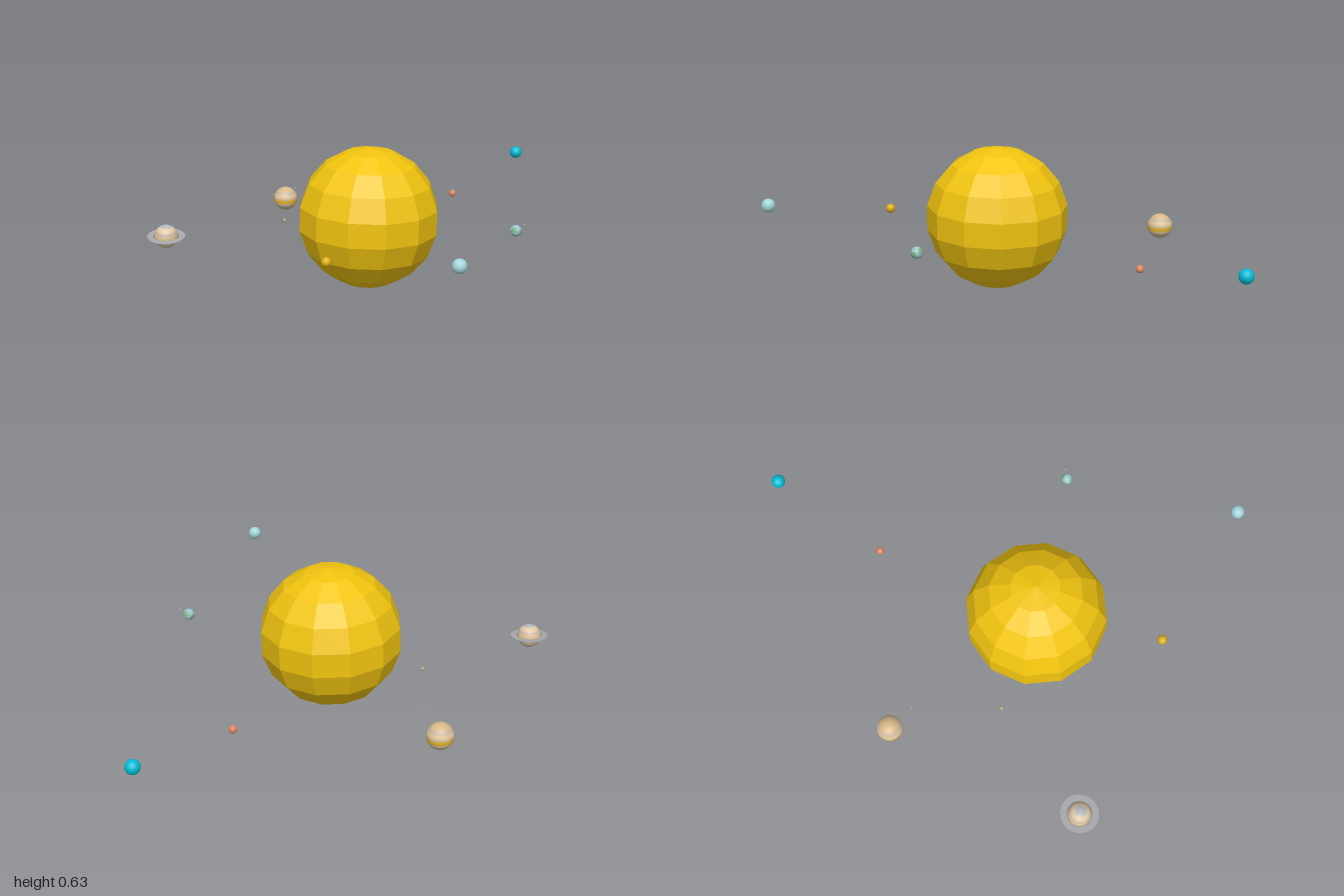
import * as THREE from 'three';

const mat = (color, extra = {}) => new THREE.MeshStandardMaterial({ color, ...extra });

function add(parent, name, geometry, material, pos = [0, 0, 0]) {
  const mesh = new THREE.Mesh(geometry, material);
  mesh.name = name;
  mesh.position.set(...pos);
  parent.add(mesh);
  return mesh;
}

const ball = (parent, name, r, color, pos) =>
  add(parent, name, new THREE.SphereGeometry(r, 20, 14), mat(color), pos);

// Sphere made of coloured latitude bands; each band is [share of the height, colour]
function bandedPlanet(parent, name, r, bands, pos) {
  const planet = new THREE.Group();
  planet.name = name;
  planet.position.set(...pos);
  let y = 1;
  bands.forEach(([share, color], i) => {
    const next = Math.max(-1, y - 2 * share);
    const start = Math.acos(y);
    const length = Math.acos(next) - start;
    add(planet, 'band' + (i + 1),
      new THREE.SphereGeometry(r, 24, 4, 0, Math.PI * 2, start, length), mat(color));
    y = next;
  });
  parent.add(planet);
  return planet;
}

export function createModel() {
  const model = new THREE.Group();
  model.name = 'solarSystem';

  // Faceted central star, leaning slightly
  const sun = add(model, 'sun', new THREE.SphereGeometry(0.316, 12, 9),
    mat(0xf1c40f, { flatShading: true }), [-0.033, 0.316, -0.058]);
  sun.rotation.z = -0.03;

  // Plain planets
  ball(model, 'firstPlanet', 0.009, 0xb8a888, [-0.363, 0.24, -0.34]);
  ball(model, 'secondPlanet', 0.021, 0xe0b010, [-0.327, 0.286, 0.422]);
  ball(model, 'fourthPlanet', 0.017, 0xe08860, [0.525, 0.234, -0.61]);
  ball(model, 'seventhPlanet', 0.03, 0xa2d5dc, [0.08, 0.407, 0.936]);
  ball(model, 'eighthPlanet', 0.03, 0x00bcd4, [0.967, 0.333, -0.942]);

  // Third planet: pale sea, green land patches and one moon
  const third = ball(model, 'thirdPlanet', 0.025, 0x9cc8d0, [0.532, 0.317, 0.297]);
  for (const [phi, theta, width, height] of
    [[0.3, 0.7, 1.1, 0.9], [1.9, 1.2, 1.0, 1.0], [3.4, 0.6, 1.3, 0.9], [4.9, 1.4, 0.9, 1.0]]) {
    add(third, 'land', new THREE.SphereGeometry(0.0255, 8, 6, phi, width, theta, height),
      mat(0x7fb58a));
  }
  ball(model, 'thirdPlanetMoon', 0.003, 0xcccccc, [0.567, 0.344, 0.302]);

  // Banded giant with its moons
  bandedPlanet(model, 'bandedGiant', 0.057, [
    [0.14, 0xd9b98a], [0.12, 0xc9b8a0], [0.16, 0xe3c79c], [0.06, 0xc9b8a0],
    [0.16, 0xe8b830], [0.1, 0xe3c79c], [0.12, 0xc9b8a0], [0.14, 0xd9b98a],
  ], [-0.27, 0.203, -0.826]);
  for (const pos of [[-0.318, 0.205, -0.895], [-0.363, 0.207, -0.817], [-0.24, 0.284, -0.708]]) {
    ball(model, 'giantMoon', 0.0035, 0xbbaa90, pos);
  }

  // Ringed giant with a flat, slightly tipped ring
  const ringed = bandedPlanet(model, 'ringedGiant', 0.052, [
    [0.06, 0xb5b8bd], [0.16, 0xe0c8a4], [0.1, 0xc8b8a8], [0.3, 0xe0c49a],
    [0.14, 0xc8b8a8], [0.16, 0xe0c8a4], [0.08, 0xb5b8bd],
  ], [-0.917, 0.253, -0.188]);
  ringed.rotation.x = 0.12;
  const ringShape = new THREE.Shape().absarc(0, 0, 0.083, 0, Math.PI * 2);
  ringShape.holes.push(new THREE.Path().absarc(0, 0, 0.056, 0, Math.PI * 2, true));
  const ring = add(ringed, 'ring', new THREE.ExtrudeGeometry(ringShape,
    { depth: 0.004, bevelEnabled: false, curveSegments: 24 }), mat(0xa9a9ad), [0, 0.002, 0]);
  ring.rotation.x = Math.PI / 2;

  return model;
}
